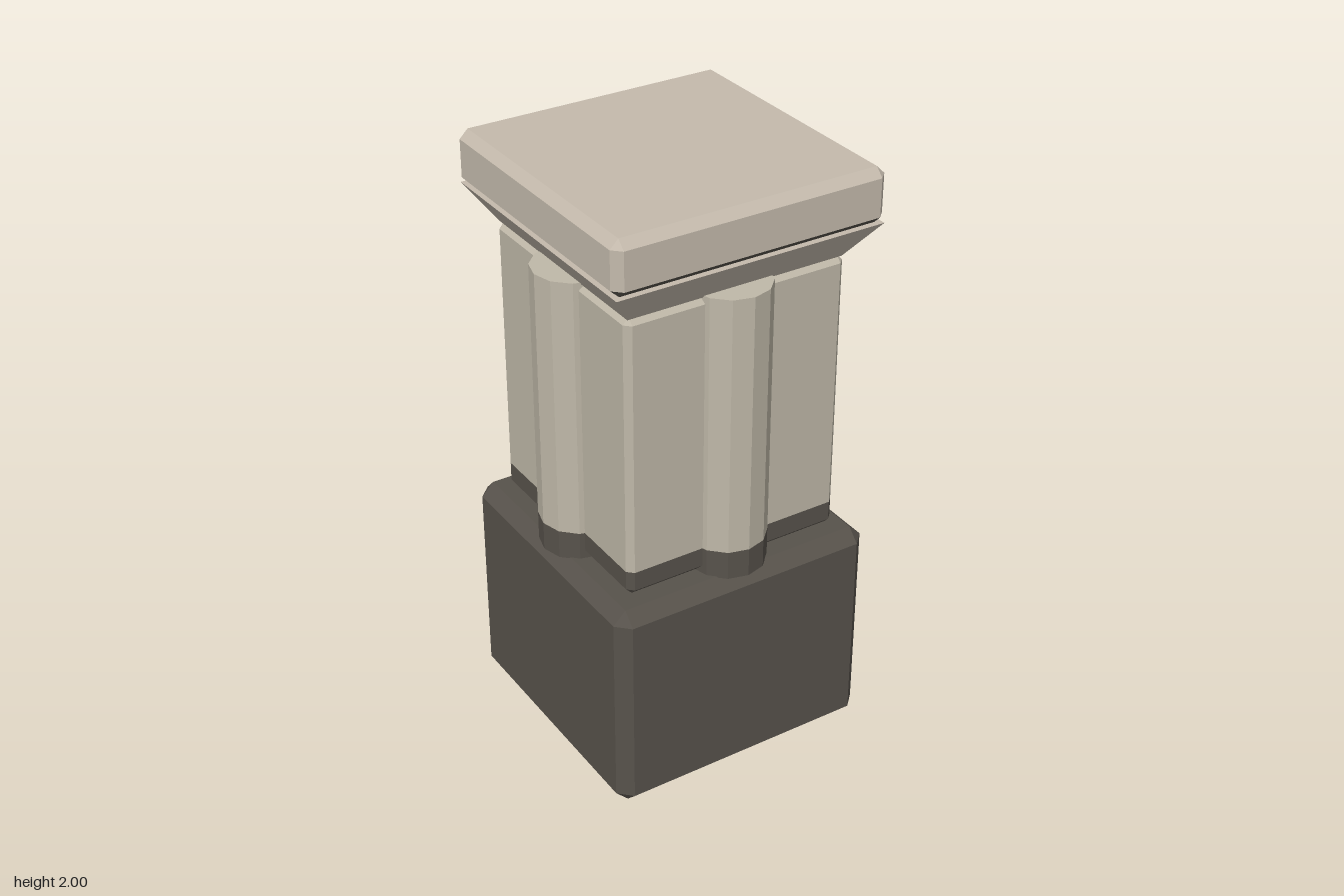
import * as THREE from 'three';

const paleStone = new THREE.MeshStandardMaterial({ color: 0xc4baac });
paleStone.name = 'pale stone';
const shaftStone = new THREE.MeshStandardMaterial({ color: 0xbfb8a8 });
shaftStone.name = 'shaft stone';
const darkStone = new THREE.MeshStandardMaterial({ color: 0x57524b });
darkStone.name = 'dark stone';

// Square ring of half width w with corners cut by c, counterclockwise from above
function squareRing(y, w, c = 0) {
  const pts = [];
  let corner = [[w - c, w], [w, w - c]];
  for (let k = 0; k < 4; k++) {
    corner.forEach(([x, z]) => pts.push([x, y, z]));
    corner = corner.map(([x, z]) => [z, -x]);
  }
  return pts;
}

// Twelve-sided ring for the half columns
function roundRing(y, r, cz) {
  return Array.from({ length: 12 }, (_, i) => {
    const a = (i / 12) * Math.PI * 2;
    return [r * Math.sin(a), y, cz + r * Math.cos(a)];
  });
}

// Faceted solid through rings listed from bottom to top
function loft(name, material, rings, capBottom = true, capTop = true) {
  const pos = [];
  const tri = (a, b, c) => pos.push(...a, ...b, ...c);
  for (let j = 0; j < rings.length - 1; j++) {
    const lo = rings[j], hi = rings[j + 1], n = lo.length;
    for (let i = 0; i < n; i++) {
      const k = (i + 1) % n;
      tri(lo[i], lo[k], hi[k]);
      tri(lo[i], hi[k], hi[i]);
    }
  }
  const first = rings[0], last = rings[rings.length - 1];
  for (let i = 1; i < first.length - 1; i++) {
    if (capBottom) tri(first[0], first[i + 1], first[i]);
    if (capTop) tri(last[0], last[i], last[i + 1]);
  }
  const g = new THREE.BufferGeometry();
  g.setAttribute('position', new THREE.Float32BufferAttribute(pos, 3));
  g.computeVertexNormals();
  const mesh = new THREE.Mesh(g, material);
  mesh.name = name;
  return mesh;
}

export function createModel() {
  const model = new THREE.Group();
  model.name = 'pillar';

  // Plinth with bevelled edges
  model.add(loft('plinth', darkStone, [
    squareRing(0, 0.418), squareRing(0.043, 0.461, 0.043),
    squareRing(0.704, 0.461, 0.043), squareRing(0.747, 0.418),
  ]));

  // Square shaft with a dark foot band
  const bandY = 0.84;
  model.add(loft('shaftFoot', darkStone, [
    squareRing(0.755, 0.36), squareRing(0.775, 0.38, 0.02), squareRing(bandY, 0.38, 0.02),
  ], true, false));
  model.add(loft('shaft', shaftStone, [
    squareRing(bandY, 0.38, 0.02), squareRing(1.685, 0.38, 0.02), squareRing(1.705, 0.36),
  ], false, true));

  // One engaged column on each side
  for (let i = 0; i < 4; i++) {
    const column = new THREE.Group();
    column.name = 'sideColumn';
    column.add(loft('columnFoot', darkStone,
      [roundRing(0.743, 0.13, 0.331), roundRing(bandY, 0.13, 0.331)], true, false));
    column.add(loft('columnShaft', shaftStone,
      [roundRing(bandY, 0.13, 0.331), roundRing(1.711, 0.13, 0.331)], false, true));
    column.rotation.y = (i * Math.PI) / 2;
    model.add(column);
  }

  // Flared capital
  model.add(loft('capital', paleStone, [squareRing(1.703, 0.37), squareRing(1.823, 0.455)]));

  // Top slab with a dark lower bevel
  model.add(loft('slabLowerBevel', darkStone, [
    squareRing(1.822, 0.433), squareRing(1.848, 0.461, 0.028),
  ], true, false));
  model.add(loft('slab', paleStone, [
    squareRing(1.848, 0.461, 0.028), squareRing(1.972, 0.461, 0.028), squareRing(2, 0.433),
  ], false, true));

  return model;
}
